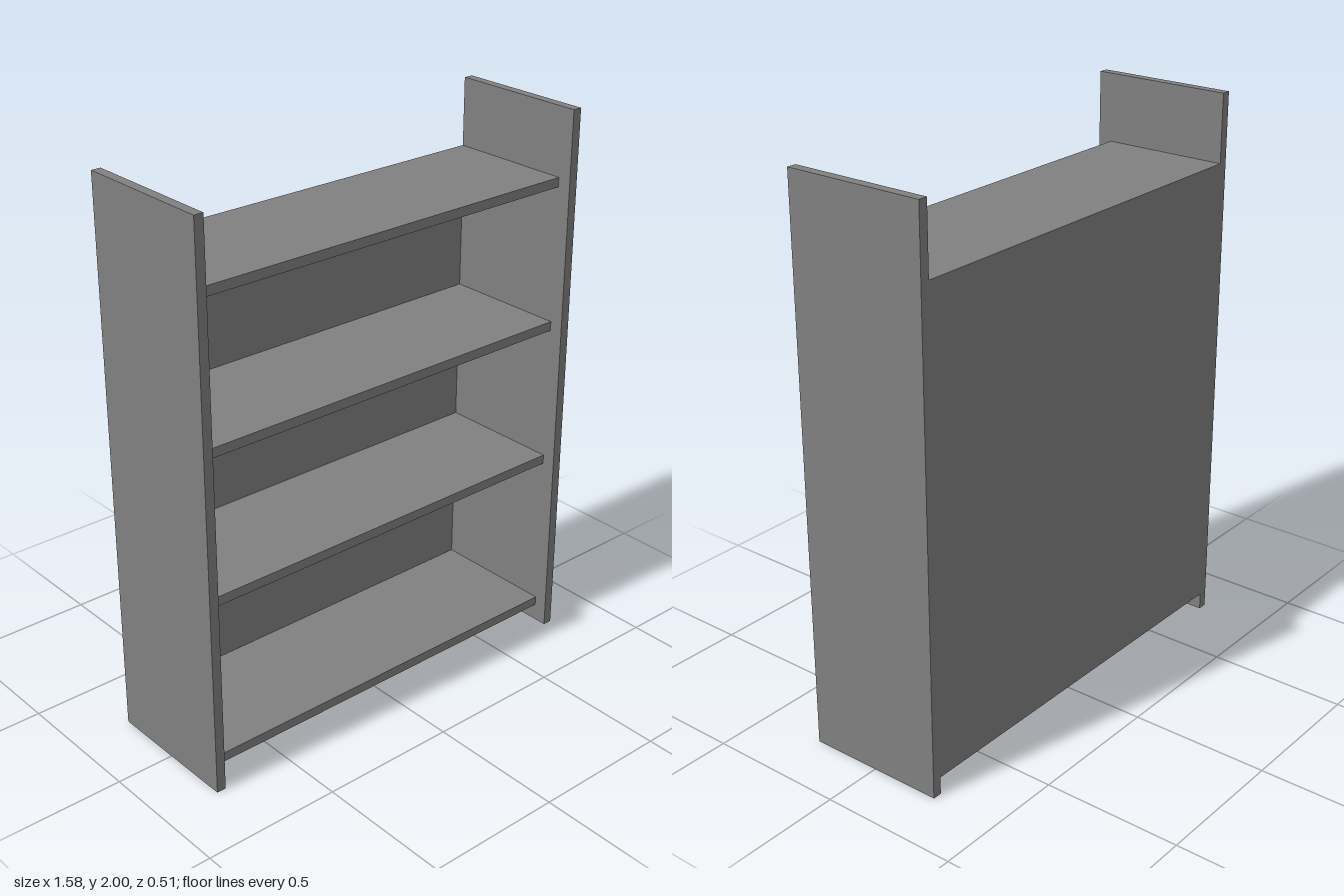
import * as THREE from 'three';

export function createModel() {
  const group = new THREE.Group();
  group.name = 'bookcase';
  const grey = new THREE.MeshStandardMaterial({ color: 0x808080 });
  grey.name = 'grey';

  // Box given by its minimum and maximum corners
  const board = (name, [x0, y0, z0], [x1, y1, z1]) => {
    const mesh = new THREE.Mesh(new THREE.BoxGeometry(x1 - x0, y1 - y0, z1 - z0), grey);
    mesh.position.set((x0 + x1) / 2, (y0 + y1) / 2, (z0 + z1) / 2);
    mesh.name = name;
    group.add(mesh);
  };

  const outer = 0.788, inner = 0.754, depth = 0.257;
  const shelfFront = 0.207, backFront = -0.252, thickness = 0.034;

  // Tall side panels
  board('leftSide', [inner, 0, -depth], [outer, 2, depth]);
  board('rightSide', [-outer, 0, -depth], [-inner, 2, depth]);

  // Shelves, set back from the front edges of the sides
  [0.063, 0.668, 1.194, 1.721].forEach((y, i) => {
    board(`shelf${i + 1}`, [-inner, y, backFront], [inner, y + thickness, shelfFront]);
  });

  // Thin back panel from the lowest shelf to the top shelf
  board('backPanel', [-inner, 0.063, -depth], [inner, 1.755, backFront]);

  return group;
}
